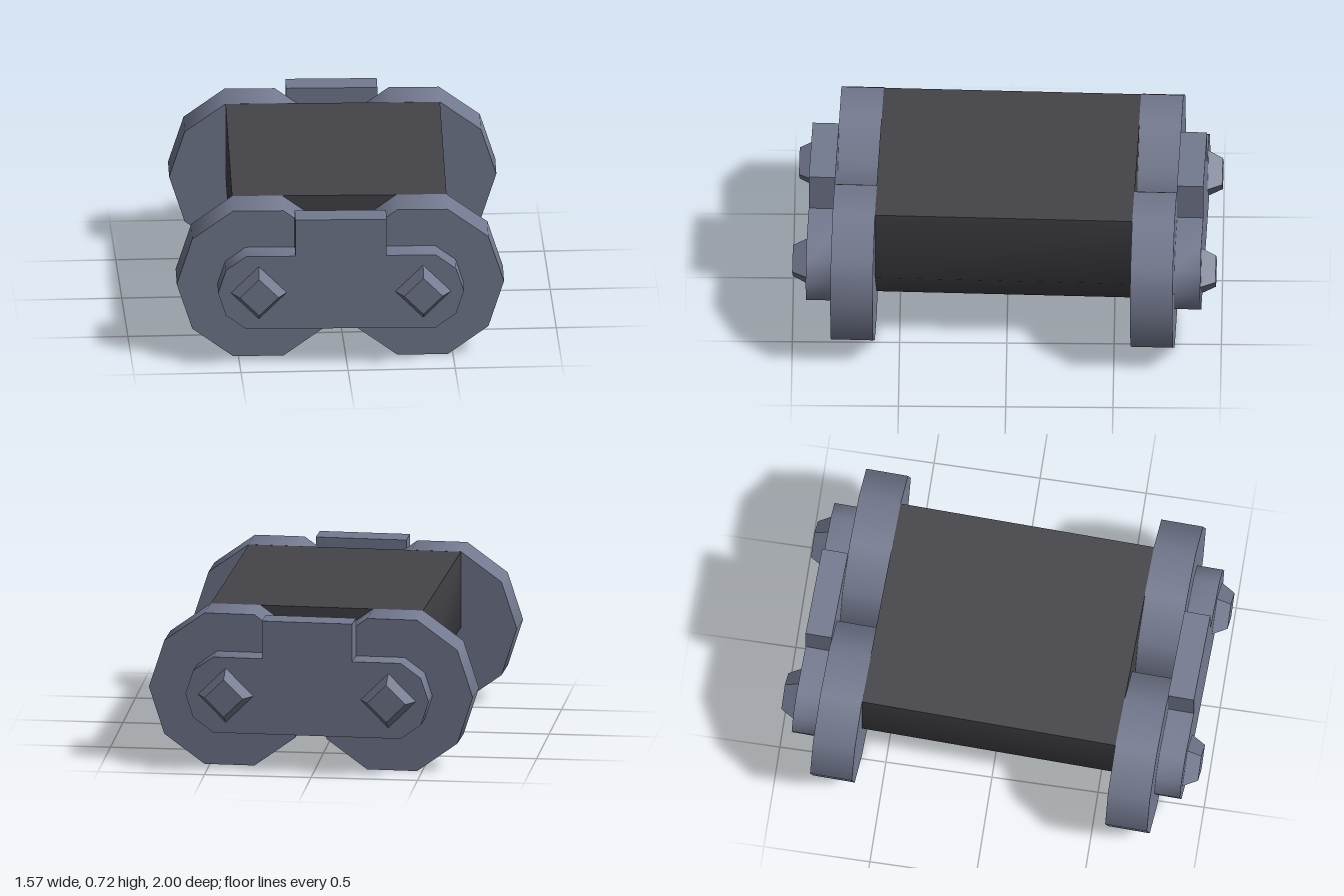
import * as THREE from 'three';
import { toCreasedNormals } from 'three/addons/utils/BufferGeometryUtils.js';

const AXLE_X = 0.383, AXLE_Y = 0.361;

// Extrudes an outline along z, with soft edges below the crease angle
function slab(points, z0, z1, crease) {
  const shape = new THREE.Shape(points.map(([x, y]) => new THREE.Vector2(x, y)));
  const geo = new THREE.ExtrudeGeometry(shape, { depth: z1 - z0, bevelEnabled: false });
  geo.translate(0, 0, z0);
  return toCreasedNormals(geo, crease);
}

// Outline of the link plate: two half decagons joined, with a tab on top
function plateOutline() {
  const r = 0.19, half = [];
  for (let i = -2; i <= 2; i++) {
    const a = i * Math.PI / 5;
    half.push([AXLE_X + r * Math.cos(a), AXLE_Y + r * Math.sin(a)]);
  }
  half.push([0.213, half[4][1]], [0.213, 0.722]);
  return [...half, ...half.map(([x, y]) => [-x, y]).reverse()];
}

export function createModel() {
  const steel = new THREE.MeshStandardMaterial({ color: 0x747a90 });
  steel.name = 'steel';
  const rubber = new THREE.MeshStandardMaterial({ color: 0x434349 });
  rubber.name = 'darkRubber';

  const model = new THREE.Group();
  model.name = 'trackLink';
  const add = (parent, name, geo, mat) => {
    const mesh = new THREE.Mesh(geo, mat);
    mesh.name = name;
    parent.add(mesh);
    return mesh;
  };

  // Central pad with a chamfered underside
  add(model, 'pad', slab([
    [-0.31, 0.142], [0.31, 0.142], [0.5, 0.36], [0.5, 0.722], [-0.5, 0.722], [-0.5, 0.36],
  ], -0.602, 0.602, 1.0), rubber);

  // Ten-sided rollers, corner pointing sideways
  const roller = new THREE.CylinderGeometry(0.38, 0.38, 0.198, 10);
  roller.rotateY(Math.PI / 2).rotateX(Math.PI / 2);

  // Tapered square bolt heads standing on a corner
  const bolt = toCreasedNormals(new THREE.CylinderGeometry(0.09, 0.13, 0.067, 4), 0.5);
  bolt.rotateX(Math.PI / 2);

  const plate = slab(plateOutline(), 0.797, 0.92, 0.7);

  // Same end assembly at the front and turned round at the back
  for (const [name, turn] of [['frontEnd', 0], ['backEnd', Math.PI]]) {
    const end = new THREE.Group();
    end.name = name;
    end.rotation.y = turn;
    add(end, 'linkPlate', plate, steel);
    for (const s of [-1, 1]) {
      add(end, 'roller', roller, steel).position.set(s * AXLE_X, AXLE_Y, 0.699);
      add(end, 'boltHead', bolt, steel).position.set(s * AXLE_X, AXLE_Y, 0.9535);
    }
    model.add(end);
  }

  // The whole link sits slightly turned
  model.rotation.y = -0.031;
  const root = new THREE.Group();
  root.name = 'model';
  root.add(model);
  return root;
}
